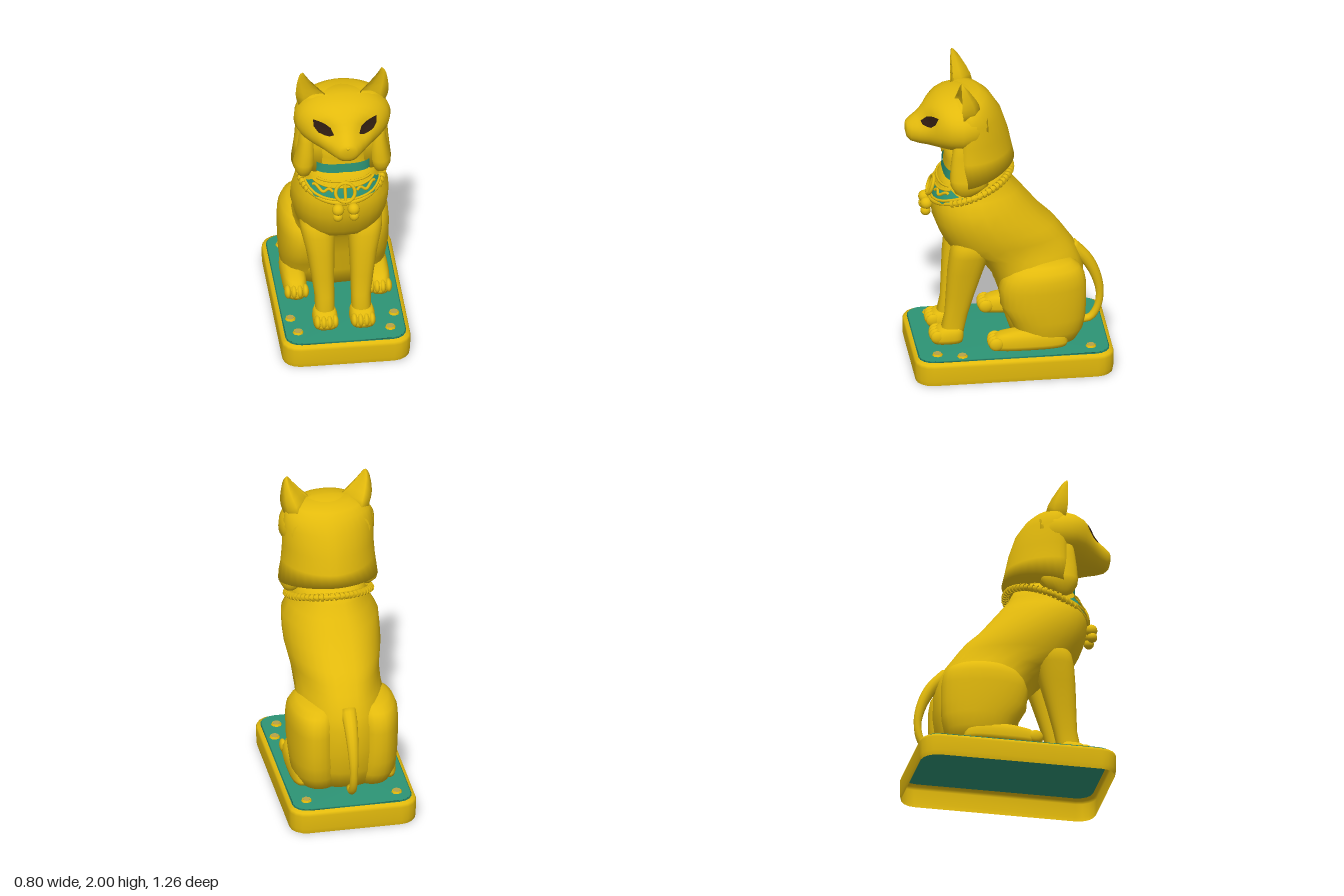
import * as THREE from 'three';
import { mergeVertices } from 'three/addons/utils/BufferGeometryUtils.js';

const V = (x, y, z) => new THREE.Vector3(x, y, z);
const gold = new THREE.MeshStandardMaterial({ name: 'gold', color: 0xe3ba0c, side: THREE.DoubleSide });
const agedGold = new THREE.MeshStandardMaterial({ name: 'agedGold', color: 0xb8a348 });
const teal = new THREE.MeshStandardMaterial({ name: 'teal', color: 0x2d9475, side: THREE.DoubleSide });
const dark = new THREE.MeshStandardMaterial({ name: 'darkBrown', color: 0x2e1c10, side: THREE.DoubleSide });

// Skin a list of equal-length point rings; closed rings, optional end caps
function loft(rings, { caps = true, closed = true } = {}) {
  const n = rings[0].length, pos = [], idx = [];
  rings.forEach(r => r.forEach(p => pos.push(p.x, p.y, p.z)));
  for (let i = 0; i < rings.length - 1; i++)
    for (let j = 0; j < (closed ? n : n - 1); j++) {
      const a = i * n + j, b = i * n + (j + 1) % n;
      idx.push(a, a + n, b, b, a + n, b + n);
    }
  if (caps) [0, rings.length - 1].forEach((r, end) => {
    const c = rings[r].reduce((s, p) => s.add(p), V(0, 0, 0)).divideScalar(n), k = pos.length / 3;
    pos.push(c.x, c.y, c.z);
    for (let j = 0; j < n; j++) {
      const a = r * n + j, b = r * n + (j + 1) % n;
      idx.push(...(end ? [a, k, b] : [a, b, k]));
    }
  });
  // turn the faces outward if the enclosed volume is negative
  const at = i => V(pos[3 * i], pos[3 * i + 1], pos[3 * i + 2]);
  let vol = 0;
  for (let i = 0; i < idx.length; i += 3) vol += at(idx[i]).dot(at(idx[i + 1]).cross(at(idx[i + 2])));
  if (vol < 0) idx.reverse();
  let g = new THREE.BufferGeometry();
  g.setAttribute('position', new THREE.Float32BufferAttribute(pos, 3));
  g.setIndex(idx);
  g = mergeVertices(g, 1e-5);
  g.computeVertexNormals();
  return g;
}

// Superellipse section in -1..1, with its own exponent for the back half
function oval(e = 2, n = 28, eBack = e) {
  return Array.from({ length: n }, (_, i) => {
    const a = (i / n) * Math.PI * 2, k = 2 / (i > n / 2 ? eBack : e), f = v => Math.sign(v) * Math.abs(v) ** k;
    return [f(Math.cos(a)), f(Math.sin(a))];
  });
}
const lerp = THREE.MathUtils.lerp;
const map = (t, lo, hi) => (lo + hi) / 2 + t * (hi - lo) / 2;

// Horizontal sections: rows of [y, x0, x1, zBack, zFront]; taper narrows the back
const loftY = (rows, e = 2, taper = 0, opt) => loft(rows.map(([y, x0, x1, z0, z1]) =>
  oval(e).map(([u, v]) => V(map(u * (1 - taper * Math.max(0, -v)), x0, x1), y, map(v, z0, z1)))), opt);

export function createModel() {
  const model = new THREE.Group();
  const add = (name, geo, mat = gold, x = 0, y = 0, z = 0) => {
    const m = new THREE.Mesh(geo, mat);
    m.name = name;
    m.position.set(x, y, z);
    model.add(m);
    return m;
  };
  const ball = (name, x, y, z, rx, ry = rx, rz = rx) =>
    add(name, new THREE.SphereGeometry(1, 16, 10), gold, x, y, z).scale.set(rx, ry, rz);

  // Hollow plinth with a teal top
  const roundRect = (inset, y) => {
    const w = 0.4 - inset, d = 0.6175 - inset, r = 0.11 - inset * 0.6, out = [];
    [[1, 1], [-1, 1], [-1, -1], [1, -1]].forEach(([sx, sz], k) => {
      for (let i = 0; i <= 4; i++) {
        const a = (k + i / 4) * Math.PI / 2;
        out.push(V(sx * (w - r) + r * Math.cos(a), y, -0.0125 + sz * (d - r) + r * Math.sin(a)));
      }
    });
    return out;
  };
  add('plinthWall', loft([[0.008, 0], [0.002, 0.03], [0, 0.12], [0.006, 0.138], [0.026, 0.149]]
    .map(([i, y]) => roundRect(i, y)), { caps: false }));
  add('plinthTop', loft([roundRect(0.025, 0.148), roundRect(0.034, 0.157)]), teal);
  [[-0.285, -0.49], [0.28, -0.49], [-0.29, 0.45], [0.28, 0.46], [-0.32, 0.3], [0.32, 0.31]].forEach(([x, z]) => {
    add('stud', new THREE.CylinderGeometry(0.028, 0.034, 0.012, 8), gold, x, 0.162, z);
    add('studTop', new THREE.CylinderGeometry(0.023, 0.025, 0.005, 8), agedGold, x, 0.169, z);
  });

  // Trunk, from the rump up to the neck
  const torso = add('torso', loftY([
    [0.18, -0.25, 0.25, -0.41, -0.02], [0.3, -0.27, 0.27, -0.46, 0.02], [0.45, -0.28, 0.28, -0.478, 0.05],
    [0.6, -0.28, 0.28, -0.475, 0.1], [0.68, -0.27, 0.27, -0.45, 0.16], [0.75, -0.262, 0.262, -0.42, 0.24],
    [0.8, -0.268, 0.268, -0.385, 0.36], [0.85, -0.28, 0.28, -0.35, 0.395], [0.92, -0.295, 0.295, -0.295, 0.43],
    [1.0, -0.3, 0.3, -0.21, 0.46], [1.1, -0.297, 0.297, -0.13, 0.47], [1.17, -0.258, 0.258, -0.075, 0.455],
    [1.24, -0.228, 0.228, -0.02, 0.425], [1.32, -0.2, 0.2, 0.02, 0.385]], 2.55, 0.27));
  const neck = add('neck', loftY([[1.2, -0.2, 0.2, 0.08, 0.4], [1.28, -0.175, 0.175, 0.08, 0.39],
    [1.4, -0.168, 0.168, 0.08, 0.382], [1.52, -0.17, 0.17, 0.08, 0.385]], 2.8));
  add('neckBand', loftY([[1.296, -0.177, 0.177, 0.2, 0.396], [1.358, -0.174, 0.174, 0.2, 0.392]], 2.8, 0, { caps: false }), teal);

  // Head: wedge-shaped face of upright sections, rows of [z, halfWidth, yLow, yHigh]
  const faceRows = [[0.14, 0.24, 1.52, 1.81], [0.22, 0.285, 1.49, 1.84], [0.3, 0.3, 1.475, 1.852],
    [0.37, 0.282, 1.485, 1.842], [0.43, 0.24, 1.495, 1.822], [0.49, 0.178, 1.503, 1.78], [0.55, 0.118, 1.508, 1.712],
    [0.595, 0.08, 1.52, 1.673], [0.618, 0.055, 1.545, 1.65], [0.627, 0.025, 1.585, 1.635]];
  // halve the spacing so that the sockets below can be pressed in
  const fineRows = faceRows.flatMap((r, i) => i ? [r.map((v, k) => (v + faceRows[i - 1][k]) / 2), r] : [r]);
  const socket = (x, y, z) => z > 0.35
    ? 0.034 * Math.exp(-(((Math.abs(x) - 0.115) / 0.07) ** 2) - ((y - 1.695) / 0.05) ** 2) : 0;
  const face = add('face', loft(fineRows.map(([z, w, lo, hi]) => oval(2.15, 48).map(([u, v]) => {
    const x = u * w, y = map(v, lo, hi);
    return V(x, y, z - socket(x, y, z));
  }))));
  ball('nose', 0, 1.63, 0.606, 0.022, 0.014, 0.024);
  [-1, 1].forEach(s => ball('muzzlePad', s * 0.03, 1.575, 0.578, 0.042, 0.036, 0.04));

  // Headcloth falling behind the neck, its hem dropping toward the front; rows of [y, halfWidth, zBack, zMid, zFront]
  add('headcloth', loft([[1.84, 0.14, 0.17, 0.26, 0.35], [1.815, 0.21, 0.125, 0.25, 0.36], [1.78, 0.262, 0.087, 0.25, 0.36],
    [1.7, 0.284, 0.034, 0.25, 0.36], [1.565, 0.284, -0.01, 0.25, 0.355], [1.46, 0.292, -0.032, 0.25, 0.355],
    [1.38, 0.309, -0.05, 0.24, 0.36]].map(([y, w, back, mid, front], i, rows) => oval(2.5, 36, 1.8).map(([u, v]) => {
    const z = mid + v * (v < 0 ? mid - back : front - mid);
    return V(u * w, i === rows.length - 1 ? 1.38 - 0.24 * (z + 0.05) : y, z);
  }))));

  // Drop a point of the front elevation onto the body's surface
  const caster = new THREE.Raycaster();
  const drape = (x, y, lift, targets) => {
    caster.set(V(x, y, 2), V(0, 0, -1));
    const hit = caster.intersectObjects(targets, false)[0];
    return V(x, y, (hit ? hit.point.z : 0.3) + lift);
  };

  const eyeOutline = [[0.078, 1.682], [0.095, 1.715], [0.13, 1.735], [0.165, 1.743], [0.197, 1.745],
    [0.195, 1.705], [0.17, 1.675], [0.135, 1.667], [0.105, 1.668]];
  // Ear sections: rows of [y, xInner, xOuter, zRidge, zBack]
  const earRows = [[1.74, 0.14, 0.262, 0.32, 0.2], [1.8, 0.1, 0.282, 0.335, 0.185], [1.84, 0.108, 0.288, 0.335, 0.195],
    [1.88, 0.145, 0.286, 0.33, 0.215], [1.92, 0.18, 0.281, 0.325, 0.24], [1.96, 0.212, 0.273, 0.32, 0.265],
    [1.985, 0.229, 0.263, 0.315, 0.285], [2.0, 0.24, 0.25, 0.308, 0.3]];
  [-1, 1].forEach(s => {
    // Ear: a flat, slightly hollowed front with a rounded back
    add('ear', loft(earRows.map(([y, a, b, zr, zb]) =>
      [[1, 0.78], [0.75, 0.76], [0.4, 0.7], [0, 0.85], [0, 0.98], [0.25, 0.45], [0.55, 0], [0.85, 0.25]]
        .map(([u, w]) => V(s * lerp(a, b, u), y, lerp(zb, zr, w))))));

    // Eye
    const eyeRings = [1, 0.75, 0.5, 0.25, 0.01].map(k => eyeOutline.map(([x, y]) =>
      drape(s * (0.14 + (x - 0.14) * k), 1.705 + (y - 1.705) * k, 0.007, [face])));
    add('eye', loft(eyeRings, { caps: false }), dark);

    // Front lappet of the headcloth
    const side = rows => rows.map(([y, a, b, z0, z1]) => [y, Math.min(s * a, s * b), Math.max(s * a, s * b), z0, z1]);
    add('lappet', loftY(side([[1.228, 0.225, 0.262, 0.24, 0.31], [1.25, 0.195, 0.28, 0.2, 0.345], [1.3, 0.17, 0.304, 0.14, 0.372],
      [1.34, 0.165, 0.3, 0.15, 0.377], [1.42, 0.165, 0.284, 0.18, 0.372], [1.5, 0.17, 0.272, 0.2, 0.362],
      [1.62, 0.18, 0.26, 0.2, 0.34]]), 2.3));

    // Front leg and paw
    add('frontLeg', loftY(side([[0.19, 0.06, 0.17, 0.285, 0.4], [0.27, 0.052, 0.172, 0.27, 0.415], [0.36, 0.052, 0.175, 0.25, 0.395],
      [0.5, 0.05, 0.195, 0.21, 0.388], [0.66, 0.045, 0.222, 0.16, 0.38], [0.78, 0.04, 0.25, 0.12, 0.368],
      [0.85, 0.04, 0.255, 0.08, 0.352], [0.94, 0.06, 0.22, 0.08, 0.3]]), 2.4));
    add('frontPaw', loftY(side([[0.175, 0.042, 0.188, 0.285, 0.474], [0.2, 0.036, 0.192, 0.28, 0.484],
      [0.235, 0.04, 0.19, 0.28, 0.474], [0.268, 0.055, 0.175, 0.29, 0.43]]), 3));
    // Hind leg: haunch and long foot
    add('haunch', loftY(side([[0.18, 0.04, 0.29, -0.41, -0.06], [0.26, 0.04, 0.325, -0.45, -0.03], [0.35, 0.04, 0.335, -0.468, 0.01],
      [0.44, 0.04, 0.342, -0.472, 0.06], [0.56, 0.04, 0.345, -0.472, 0.068], [0.63, 0.04, 0.34, -0.46, 0.045],
      [0.68, 0.05, 0.32, -0.43, 0.005], [0.71, 0.06, 0.285, -0.38, -0.04], [0.725, 0.08, 0.24, -0.3, -0.1]]), 2.3, 0.12));
    add('hindFoot', loftY(side([[0.175, 0.188, 0.327, -0.34, 0.13], [0.2, 0.182, 0.332, -0.35, 0.142],
      [0.24, 0.184, 0.33, -0.34, 0.13], [0.27, 0.195, 0.32, -0.32, 0.08], [0.29, 0.22, 0.3, -0.28, 0.0]]), 3));
    for (let i = 0; i < 4; i++) {
      const bow = i === 1 || i === 2 ? 0.006 : 0;
      ball('frontToe', s * (0.06 + i * 0.036), 0.218, 0.442 + bow, 0.022, 0.042, 0.045);
      ball('hindToe', s * (0.203 + i * 0.036), 0.218, 0.098 + bow, 0.022, 0.042, 0.045);
    }
  });

  // Tail, thick at the rump and curling under
  const tailPath = new THREE.CatmullRomCurve3([V(0, 0.72, -0.4), V(0, 0.63, -0.49), V(0, 0.52, -0.55),
    V(0, 0.39, -0.58), V(0, 0.28, -0.565), V(0, 0.212, -0.52), V(0, 0.2, -0.46)]);
  add('tail', loft(Array.from({ length: 25 }, (_, i) => {
    const t = i / 24, p = tailPath.getPointAt(t), d = tailPath.getTangentAt(t), r = 0.05 - 0.025 * Math.min(1, t * 1.6);
    return oval(2, 12).map(([u, v]) => V(u * r, p.y - v * r * 0.95 * d.z, p.z + v * r * 0.95 * d.y));
  })));

  // Broad collar laid over the chest: a gold yoke above a teal field
  const body = [torso, neck];
  const ringPoint = a => {
    const z = 0.225 + 0.25 * Math.cos(a);
    return V(0.258 * Math.sin(a), 1.3 - 0.375 * z, z);
  };
  const collarRow = t => Array.from({ length: 33 }, (_, j) => {
    const a = (j / 16 - 1) * 1.35, c = Math.cos(a);
    return drape(lerp(0.17, 0.25, t) * Math.sin(a), lerp(1.262 - 0.012 * c, 1.215 - 0.094 * c, t), 0.008, body);
  });
  const band = ts => loft(ts.map(collarRow), { caps: false, closed: false });
  const tube = (name, pts, r) => add(name, new THREE.TubeGeometry(new THREE.CatmullRomCurve3(pts), 64, r, 6));
  add('collarYoke', band([0, 0.12, 0.24]));
  add('collarField', band([0.24, 0.4, 0.6, 0.8, 1]), teal);
  [[0, 0.008], [0.26, 0.007], [0.84, 0.009]].forEach(([t, r]) => tube('collarBand', collarRow(t), r));
  [-1, 1].forEach(s => tube('collarScroll', Array.from({ length: 20 }, (_, i) => {
    const t = i / 19;
    return drape(s * (0.075 + 0.115 * t), 1.195 + 0.012 * Math.sin(t * 9) + 0.015 * t, 0.01, body);
  }), 0.01));

  // Tilted cord with ribbed beads round the neck
  add('collarCord', new THREE.TubeGeometry(new THREE.CatmullRomCurve3(
    Array.from({ length: 24 }, (_, i) => ringPoint(i / 24 * Math.PI * 2)), true), 72, 0.015, 8, true));
  for (let i = 0; i < 56; i++) {
    const a = i / 56 * Math.PI * 2, p = ringPoint(a), q = ringPoint(a + 0.02);
    if (Math.cos(a) > 0.6) continue;
    const bead = add('collarBead', new THREE.CylinderGeometry(0.024, 0.024, 0.018, 8), gold, p.x, p.y, p.z);
    bead.quaternion.setFromUnitVectors(V(0, 1, 0), q.sub(p).normalize());
  }

  // Round amulet with a bar, and the paired drops below it
  add('amuletRing', new THREE.TorusGeometry(0.06, 0.011, 8, 28), gold, 0, 1.195, 0.468).rotation.x = -0.35;
  add('amuletBar', new THREE.CylinderGeometry(0.01, 0.01, 0.12, 8), gold, 0, 1.195, 0.468).rotation.x = -0.35;
  [-1, 1].forEach(s => {
    ball('pendantDrop', s * 0.048, 1.092, 0.5, 0.038);
    ball('pendantTip', s * 0.05, 1.045, 0.505, 0.032);
  });
  return model;
}
